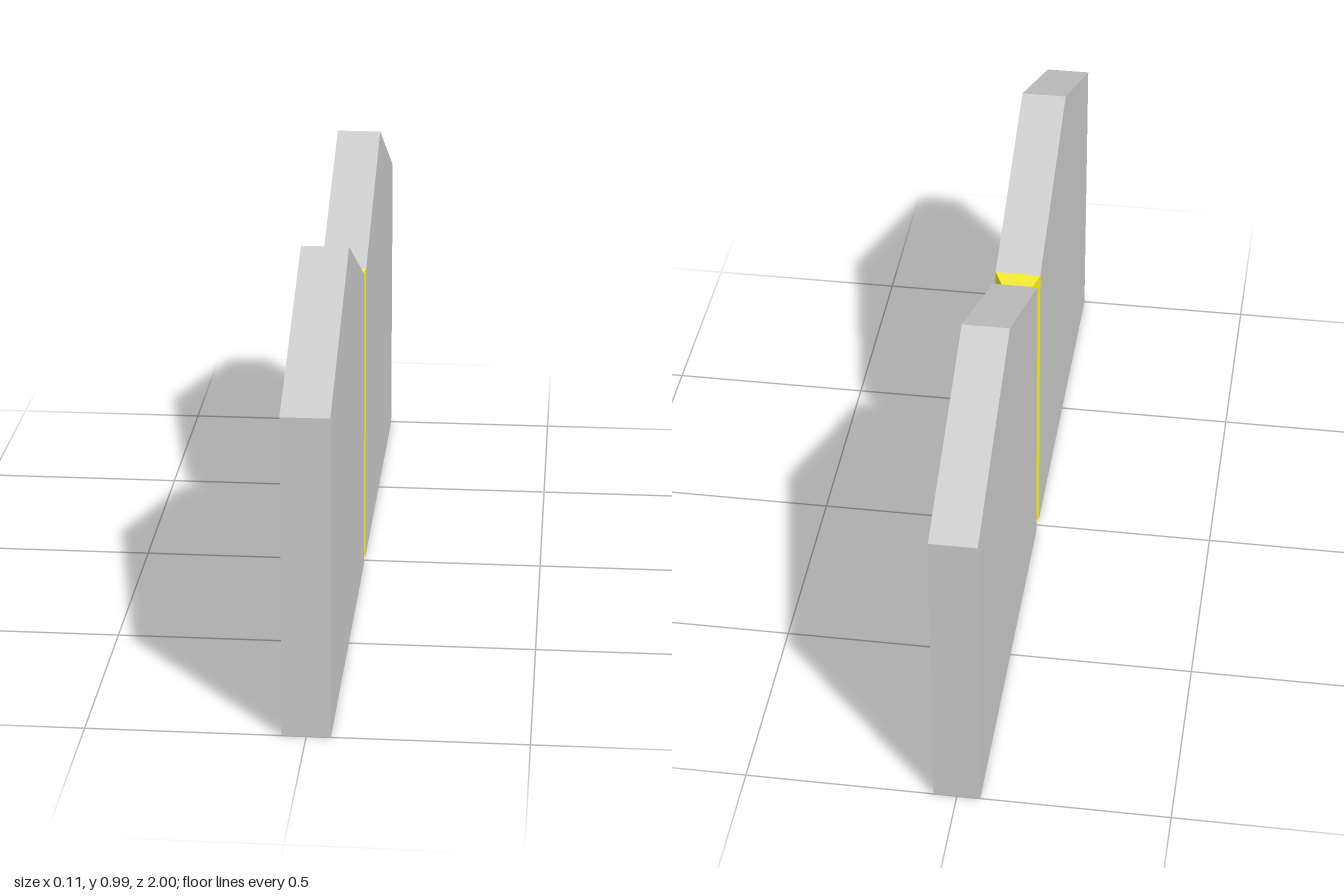
import * as THREE from 'three';

const HALF = 0.055; // half thickness of the panels
const GAP = 0.025;  // distance of the panel end from the centre

// Gabled slab, standing along the z axis
function panelGeometry() {
  const outline = [[GAP, 0], [1, 0], [1, 0.76], [0.5, 0.99], [GAP, 0.77]];
  const shape = new THREE.Shape(outline.map(([u, y]) => new THREE.Vector2(u, y)));
  const geometry = new THREE.ExtrudeGeometry(shape, { depth: 2 * HALF, bevelEnabled: false });
  geometry.translate(0, 0, -HALF);
  return geometry.rotateY(Math.PI / 2);
}

// Tapered neck from the panel end to the centre line
function neckGeometry() {
  const ring = (w, top, z) => [[-w, 0, z], [w, 0, z], [w, top, z], [-w, top, z]];
  const outer = ring(HALF, 0.77, -GAP);
  const inner = ring(0.03, 0.735, 0);
  const positions = [];
  for (let i = 0; i < 4; i++) {
    const j = (i + 1) % 4;
    for (const p of [outer[i], outer[j], inner[j], outer[i], inner[j], inner[i]]) positions.push(...p);
  }
  const geometry = new THREE.BufferGeometry();
  geometry.setAttribute('position', new THREE.Float32BufferAttribute(positions, 3));
  geometry.computeVertexNormals();
  return geometry;
}

export function createModel() {
  const model = new THREE.Group();
  model.name = 'twinGabledPanels';
  const grey = new THREE.MeshStandardMaterial({ color: 0xcccccc, flatShading: true });
  const yellow = new THREE.MeshStandardMaterial({ color: 0xf2ea0a, flatShading: true });
  const panel = panelGeometry();
  const neck = neckGeometry();

  // Two equal halves, back to back
  ['back', 'front'].forEach((side, i) => {
    const half = new THREE.Group();
    half.name = side + 'Half';
    const slab = new THREE.Mesh(panel, grey);
    slab.name = side + 'Panel';
    const joint = new THREE.Mesh(neck, yellow);
    joint.name = side + 'JointBevel';
    half.add(slab, joint);
    half.rotation.y = i * Math.PI;
    model.add(half);
  });
  return model;
}
